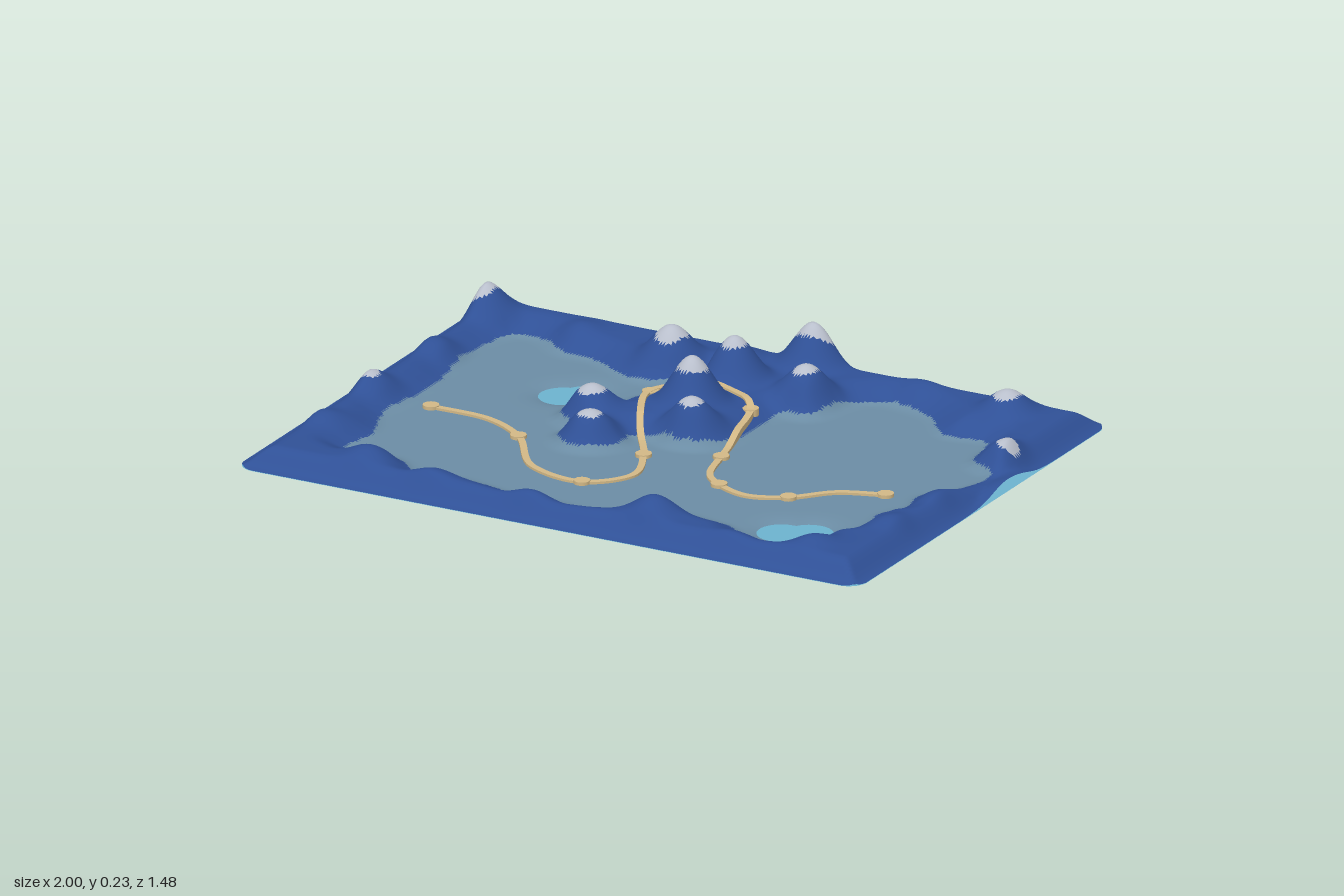
import * as THREE from 'three';

const { smoothstep } = THREE.MathUtils;
const mat = (name, color, side = THREE.FrontSide) => {
  const m = new THREE.MeshStandardMaterial({ color, side });
  m.name = name;
  return m;
};
const HX = 1, HZ = 0.74, WATER = 0.035, CORNER = 0.06;

// Shoreline between the plain and the mountains (x, z)
const shore = [
  [-.8, -.52], [-.7, -.53], [-.61, -.47], [-.5, -.46], [-.42, -.42], [-.33, -.38], [-.24, -.40], [-.13, -.49],
  [-.15, -.39], [-.26, -.26], [-.27, -.18], [-.36, -.13], [-.37, -.02], [-.29, .05], [-.30, .12],
  [-.24, .18], [-.16, .17], [-.11, .1], [-.12, .02], [-.05, 0], [.02, .02], [.1, 0], [.16, -.12],
  [.17, -.33], [.25, -.35], [.3, -.5], [.4, -.56], [.54, -.52], [.65, -.41], [.78, -.42], [.83, -.25],
  [.92, -.19], [.89, -.05], [.82, .05], [.84, .15], [.79, .22], [.8, .35], [.73, .43], [.73, .53],
  [.57, .58], [.46, .51], [.18, .51], [.09, .57], [-.13, .59], [-.34, .55], [-.5, .57], [-.61, .5],
  [-.78, .5], [-.77, .35], [-.82, .2], [-.8, -.05], [-.83, -.3],
].map(([x, z]) => new THREE.Vector3(x, 0, z));
const shorePts = new THREE.CatmullRomCurve3(shore, true).getPoints(200);

// Snowy peaks: x, z, summit height, cap half width, cap half depth
const peaks = [
  [-.92, -.58, .17, .038, .05], [-.28, -.51, .18, .045, .055], [.1, -.65, .212, .06, .04],
  [-.04, -.44, .215, .035, .038], [.19, -.44, .17, .034, .04], [.76, -.58, .15, .04, .045],
  [.92, -.29, .125, .032, .032], [-.05, -.21, .23, .045, .042], [-.29, -.06, .15, .038, .042],
  [.03, -.06, .17, .034, .035], [-.21, .1, .14, .034, .034], [-.92, .1, .13, .034, .034],
];
// Plain hills along the rim: x, z, summit height
const hills = [
  [.27, .6, .135], [-.1, .65, .1], [-.42, .64, .1], [-.65, .6, .115], [.55, .65, .09], [.78, .59, .105],
  [.89, .35, .1], [.91, .12, .095], [-.9, .4, .105], [-.9, -.25, .11], [-.6, -.57, .1], [.45, -.64, .09], [-.1, -.58, .12],
];
// Lobes of the two ponds
const ponds = [[-.46, -.2], [-.41, -.24], [.6, .455], [.67, .42]];

// Distance to the shoreline, negative on the plain
function shoreDistance(x, z) {
  let best = 9, inside = false;
  for (let i = 0; i < shorePts.length - 1; i++) {
    const a = shorePts[i], b = shorePts[i + 1], dx = b.x - a.x, dz = b.z - a.z;
    const t = Math.min(1, Math.max(0, ((x - a.x) * dx + (z - a.z) * dz) / (dx * dx + dz * dz || 1)));
    best = Math.min(best, Math.hypot(x - a.x - t * dx, z - a.z - t * dz));
    if ((a.z > z) !== (b.z > z) && x < a.x + ((z - a.z) / dz) * dx) inside = !inside;
  }
  return inside ? -best : best;
}

// Ground height from rim, peaks and ponds
function ground(x, z, d = shoreDistance(x, z)) {
  const rise = smoothstep(d, -0.05, 0.05);
  let sum = Math.pow(0.045 * smoothstep(d, -0.03, 0.1), 3);
  for (const [px, pz, h] of [...peaks, ...hills]) {
    const r2 = (x - px) ** 2 + (z - pz) ** 2;
    sum += Math.pow((h - 0.046) * Math.exp(-r2 / 0.0085) * rise, 3);
  }
  let edge = smoothstep(Math.min(HX - Math.abs(x), HZ - Math.abs(z)), 0, 0.09);
  if (x > 0.8) edge = Math.max(edge, 0.7 * Math.exp(-(((z + 0.15) / 0.12) ** 2)));
  let dip = 0;
  for (const [px, pz] of ponds) dip = Math.max(dip, Math.exp(-((x - px) ** 2 + (z - pz) ** 2) / 0.005));
  return WATER + 0.0015 + (0.009 + Math.cbrt(sum)) * edge - 0.028 * dip;
}

function terrainMesh(materials) {
  const geo = new THREE.PlaneGeometry(2 * HX, 2 * HZ, 220, 164).rotateX(-Math.PI / 2);
  const pos = geo.attributes.position, zone = [];
  for (let i = 0; i < pos.count; i++) {
    let x = pos.getX(i), z = pos.getZ(i);
    // Round off the corners
    const cx = Math.abs(x) - (HX - CORNER), cz = Math.abs(z) - (HZ - CORNER), r = Math.hypot(cx, cz);
    if (cx > 0 && cz > 0 && r > CORNER) {
      x = Math.sign(x) * (HX - CORNER + cx * CORNER / r);
      z = Math.sign(z) * (HZ - CORNER + cz * CORNER / r);
    }
    const d = shoreDistance(x, z);
    pos.setXYZ(i, x, ground(x, z, d), z);
    const snowy = peaks.some(([px, pz, , w, l]) => ((x - px) / w) ** 2 + ((z - pz) / l) ** 2 < 1);
    zone.push(snowy ? 2 : d > 0 ? 1 : 0);
  }
  // Sort the faces into plain, mountain and snow
  const lists = [[], [], []], idx = geo.index.array;
  for (let i = 0; i < idx.length; i += 3) {
    const z = [zone[idx[i]], zone[idx[i + 1]], zone[idx[i + 2]]].sort();
    lists[z[1]].push(idx[i], idx[i + 1], idx[i + 2]);
  }
  geo.setIndex(lists.flat());
  let start = 0;
  lists.forEach((l, k) => { geo.addGroup(start, l.length, k); start += l.length; });
  geo.computeVertexNormals();
  return new THREE.Mesh(geo, materials);
}

function waterMesh(material) {
  const s = new THREE.Shape(), x = HX - CORNER, z = HZ - CORNER;
  s.absarc(x, z, CORNER, 0, Math.PI / 2);
  s.absarc(-x, z, CORNER, Math.PI / 2, Math.PI);
  s.absarc(-x, -z, CORNER, Math.PI, Math.PI * 1.5);
  s.absarc(x, -z, CORNER, Math.PI * 1.5, Math.PI * 2);
  const mesh = new THREE.Mesh(new THREE.ShapeGeometry(s).rotateX(-Math.PI / 2), material);
  mesh.position.y = WATER;
  return mesh;
}

// Trail: x, z and 1 where a marker stands
const trail = [
  [-.73, .08, 1], [-.54, .09, 0], [-.4, .17, 1], [-.25, .36, 0], [-.07, .4, 1], [.03, .29, 0], [-.02, .13, 1],
  [-.13, -.05, 0], [-.19, -.22, 1], [-.13, -.305, 0], [-.03, -.325, 0], [.06, -.31, 0], [.11, -.26, 1],
  [.145, -.12, 0], [.18, .04, 1], [.22, .18, 0], [.28, .235, 1], [.39, .275, 0], [.5, .23, 1], [.6, .13, 0], [.73, .08, 1],
];
const THICK = 0.05;
const trailTop = (x, z) => Math.max(0.05, ground(x, z) + 0.007);

function trailMesh(material) {
  const curve = new THREE.CatmullRomCurve3(trail.map(([x, z]) => new THREE.Vector3(x, 0, z)));
  const n = 200, w = 0.01, verts = [], idx = [];
  for (let i = 0; i <= n; i++) {
    const p = curve.getPoint(i / n), t = curve.getTangent(i / n);
    const sx = -t.z * w, sz = t.x * w;
    const top = Math.max(trailTop(p.x, p.z), trailTop(p.x + sx, p.z + sz), trailTop(p.x - sx, p.z - sz));
    // Rectangular section: right top, left top, left bottom, right bottom
    for (const [s, y] of [[1, top], [-1, top], [-1, top - THICK], [1, top - THICK]])
      verts.push(p.x + s * sx, y, p.z + s * sz);
    if (i < n) for (let k = 0; k < 4; k++) {
      const a = i * 4 + k, b = i * 4 + (k + 1) % 4;
      idx.push(a, a + 4, b, b, a + 4, b + 4);
    }
  }
  idx.push(0, 1, 2, 0, 2, 3, n * 4, n * 4 + 2, n * 4 + 1, n * 4, n * 4 + 3, n * 4 + 2);
  const geo = new THREE.BufferGeometry();
  geo.setAttribute('position', new THREE.Float32BufferAttribute(verts, 3));
  geo.setIndex(idx);
  const flat = geo.toNonIndexed();
  flat.computeVertexNormals();
  return new THREE.Mesh(flat, material);
}

export function createModel() {
  const model = new THREE.Group();
  const two = THREE.DoubleSide;
  const plain = mat('slate plain', 0x6b8ca4, two), mountain = mat('mountain blue', 0x2f5096, two);
  const snow = mat('snow', 0xb9bfcc, two), water = mat('water', 0x6cb2ce, two);
  const sand = mat('sand', 0xd2b886, two);
  const add = (mesh, name) => { mesh.name = name; model.add(mesh); return mesh; };

  add(terrainMesh([plain, mountain, snow]), 'terrain');
  add(waterMesh(water), 'waterSheet');
  add(trailMesh(sand), 'trail');

  // Round markers along the trail
  for (const [x, z, marked] of trail) {
    if (!marked) continue;
    const m = add(new THREE.Mesh(new THREE.CylinderGeometry(0.024, 0.024, THICK, 12), sand), 'trailMarker');
    m.position.set(x, trailTop(x, z) + 0.003 - THICK / 2, z);
    m.position.y = Math.max(m.position.y, THICK / 2);
  }
  return model;
}
